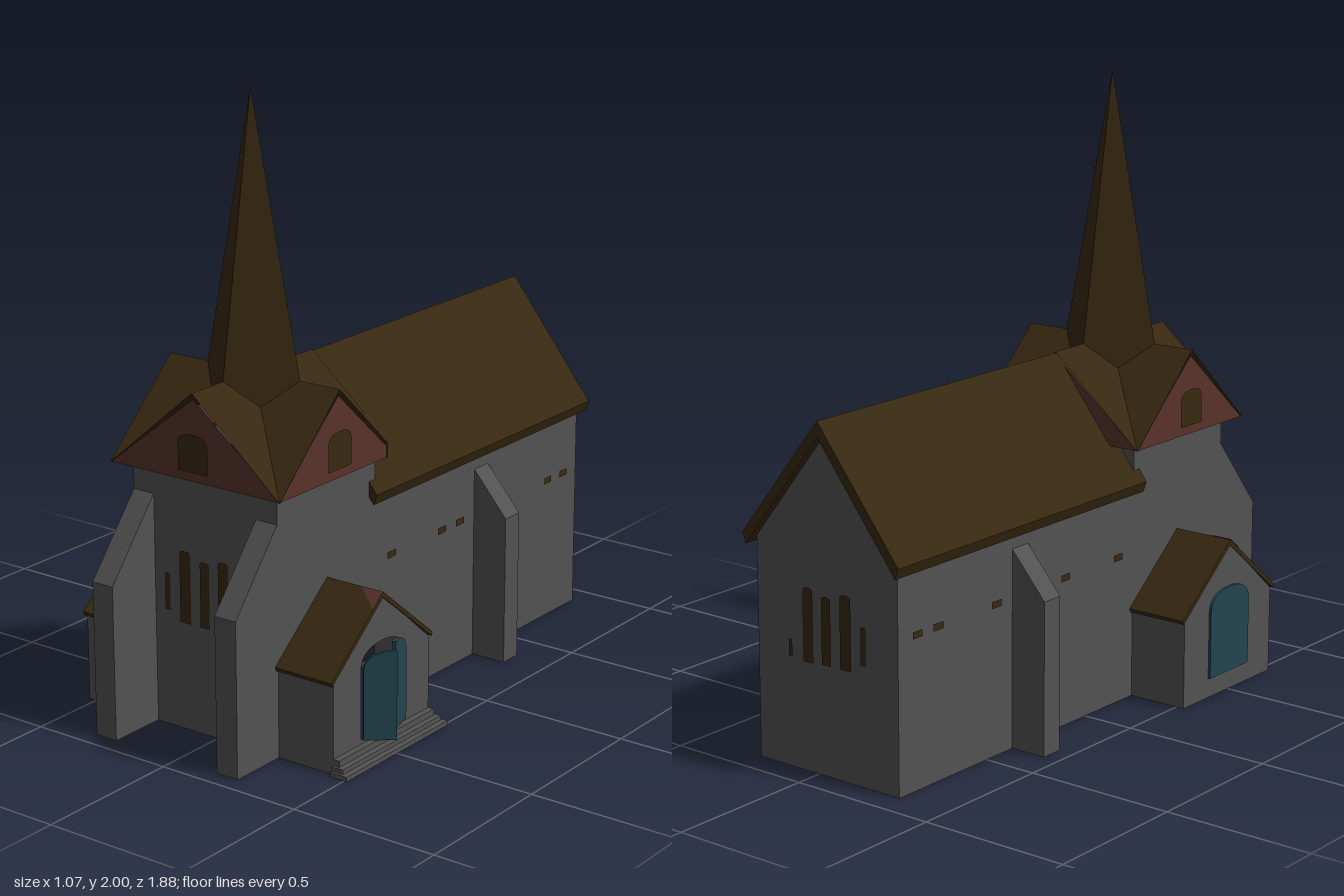
import * as THREE from 'three';

const mat = (name, color) => {
  const m = new THREE.MeshStandardMaterial({ color, side: THREE.DoubleSide });
  m.name = name;
  return m;
};

export function createModel() {
  const stone = mat('grey stone', 0x525252);
  const tile = mat('brown tile', 0x382811);
  const red = mat('red cladding', 0x58322a);
  const teal = mat('teal door', 0x234450);
  const model = new THREE.Group();

  // Main lines of the plan
  const CX = -0.04, CZ = 0.495, L = -0.32, R = 0.24;
  const FRONT = 0.74, BACK = 0.25, END = -0.91;

  const add = (name, geo, material, x = 0, y = 0, z = 0, ry = 0) => {
    const m = new THREE.Mesh(geo, material);
    m.name = name;
    m.position.set(x, y, z);
    m.rotation.y = ry;
    model.add(m);
    return m;
  };

  // Flat convex polygon from its corners
  const face = (name, material, ...p) => {
    const pos = [];
    for (let i = 1; i < p.length - 1; i++) pos.push(...p[0], ...p[i], ...p[i + 1]);
    const g = new THREE.BufferGeometry();
    g.setAttribute('position', new THREE.Float32BufferAttribute(pos, 3));
    g.computeVertexNormals();
    return add(name, g, material);
  };

  const shapeOf = (pts) => new THREE.Shape(pts.map(([x, y]) => new THREE.Vector2(x, y)));
  const extrude = (pts, depth) => new THREE.ExtrudeGeometry(shapeOf(pts), { depth, bevelEnabled: false });

  // Arched outline standing on y = 0
  const arch = (w, h) => {
    const s = shapeOf([[-w / 2, 0], [w / 2, 0], [w / 2, h - w * 0.3]]);
    s.quadraticCurveTo(w / 2, h, 0, h);
    s.quadraticCurveTo(-w / 2, h, -w / 2, h - w * 0.3);
    return s;
  };
  const archPlate = (w, h) => new THREE.ShapeGeometry(arch(w, h), 6);

  // Inverted V roof slab, running along local z
  const chevron = (half, ridge, eave, thick, length) => extrude([
    [-half, eave], [0, ridge], [half, eave],
    [half - thick * 0.25, eave - thick * 0.7], [0, ridge - thick], [-half + thick * 0.25, eave - thick * 0.7],
  ], length);

  // Nave: open shell with a gabled end
  face('naveEndWall', stone, [L, 0, END], [R, 0, END], [R, 0.71, END], [CX, 1.07, END], [L, 0.71, END]);
  for (const x of [L, R]) {
    face('naveSideWall', stone, [x, 0, BACK], [x, 0, END], [x, 0.71, END], [x, 0.71, BACK]);
  }
  add('naveRoof', chevron(0.31, 1.115, 0.722, 0.05, 1.22), tile, CX, 0, -0.94);

  // Tower walls, open towards the porches and the nave
  face('towerFrontWall', stone, [L, 0, FRONT], [R, 0, FRONT], [R, 0.85, FRONT], [L, 0.85, FRONT]);
  face('towerBackWall', stone, [L, 0.69, BACK], [R, 0.69, BACK], [R, 0.85, BACK], [L, 0.85, BACK]);
  for (const x of [L, R]) {
    const g = new THREE.ShapeGeometry(shapeOf([
      [-FRONT, 0.29], [-CZ, 0.5], [-BACK, 0.29], [-BACK, 0.85], [-FRONT, 0.85]]));
    add('towerSideWall', g, stone, x, 0, 0, Math.PI / 2);
  }

  // Tower cross-gable roof; the back corner on the left side is notched
  const x0 = -0.37, x1 = 0.29, z0 = 0.2, z1 = 0.79, lo = 0.84, hi = 1.12;
  const C = [CX, hi, CZ];
  for (const [x, z] of [[x0, z0], [x0, z1], [x1, z1]]) {
    face('towerRoofSlope', tile, C, [x, hi, CZ], [x, lo, z]);
    face('towerRoofSlope', tile, C, [CX, hi, z], [x, lo, z]);
  }
  const nx = 0.16, nz = 0.25, vx = 0.234, vy = 0.887, ny = 0.95;
  face('towerRoofSlope', tile, C, [x1, hi, CZ], [x1, vy, nz], [vx, vy, nz]);
  face('towerRoofSlope', tile, C, [CX, hi, z0], [nx, ny, z0], [nx, ny, nz], [vx, vy, nz]);
  face('notchSide', red, [nx, lo, z0], [nx, ny, z0], [nx, ny, nz], [nx, lo, nz]);
  face('notchBack', red, [nx, lo, nz], [nx, ny, nz], [vx, vy, nz], [x1, vy, nz], [x1, lo, nz]);

  // Red gables with a small arched opening each
  const top = 1.1, e = 0.006;
  face('frontGable', red, [x0, lo, z1 - e], [x1, lo, z1 - e], [CX, top, z1 - e]);
  face('backGable', red, [x0, lo, z0 + e], [nx, lo, z0 + e], [nx, ny - 0.02, z0 + e], [CX, top, z0 + e]);
  face('rightGable', red, [x0 + e, lo, z0], [x0 + e, lo, z1], [x0 + e, top, CZ]);
  face('leftGable', red, [x1 - e, lo, z1], [x1 - e, lo, nz], [x1 - e, vy - 0.01, nz], [x1 - e, top, CZ]);
  const hatch = archPlate(0.115, 0.12);
  add('gableHatch', hatch, tile, CX, 0.87, z1);
  add('gableHatch', hatch, tile, x1, 0.87, CZ, Math.PI / 2);
  add('gableHatch', hatch, tile, x0, 0.87, CZ, -Math.PI / 2);

  // Four-sided spire with its corners on the ridges
  let spire = new THREE.ConeGeometry(1, 1, 4, 1, true).scale(0.205, 1, 0.167).toNonIndexed();
  spire.computeVertexNormals();
  add('spire', spire, tile, CX, 1.5, CZ);

  // Buttresses with sloping tops
  const frontButtress = extrude([[-0.94, 0], [-0.72, 0], [-0.72, 0.775], [-0.94, 0.505]], 0.08);
  for (const x of [L, R - 0.08]) add('frontButtress', frontButtress, stone, x, 0, 0, Math.PI / 2);
  const sideButtress = extrude([[0, 0], [0.125, 0], [0.125, 0.5], [0, 0.645]], 0.078);
  add('leftButtress', sideButtress, stone, R, 0, -0.374);
  add('rightButtress', sideButtress, stone, L, 0, -0.296, Math.PI);

  // Porches on both sides
  for (const s of [-1, 1]) {
    const inner = s > 0 ? R : L, outer = inner + s * 0.208;
    const wall = shapeOf([[-FRONT, 0], [-BACK, 0], [-BACK, 0.29], [-CZ, 0.5], [-FRONT, 0.29]]);
    wall.holes.push(new THREE.Path(arch(0.215, 0.29).getPoints(6).map((p) => p.add(new THREE.Vector2(-CZ, 0.065)))));
    add('porchGableWall', new THREE.ShapeGeometry(wall), stone, outer, 0, 0, Math.PI / 2);
    for (const z of [BACK, FRONT]) {
      face('porchSideWall', stone, [inner, 0, z], [outer, 0, z], [outer, 0.29, z], [inner, 0.29, z]);
    }
    add('porchRoof', chevron(0.26, 0.512, 0.3, 0.018, 0.212), tile, s > 0 ? inner : inner - 0.212, 0, CZ, Math.PI / 2);
    // Red tip on the front slope
    const tip = outer + s * 0.004;
    face('porchRoofTip', red, [tip - s * 0.08, 0.513, CZ + 0.003], [tip, 0.513, CZ + 0.003], [tip, 0.472, CZ + 0.053]);
  }

  // Door leaves: closed on the right side, ajar on the left
  const leaf = (hx, hz, tx, tz) => {
    const w = Math.hypot(tx - hx, tz - hz);
    const s = shapeOf([[0, 0], [w, 0], [w, 0.29]]);
    s.quadraticCurveTo(0, 0.29, 0, 0.22);
    const g = new THREE.ExtrudeGeometry(s, { depth: 0.012, bevelEnabled: false, curveSegments: 6 });
    add('doorLeaf', g.translate(0, 0, -0.006), teal, hx, 0.066, hz, Math.atan2(-(tz - hz), tx - hx));
  };
  leaf(-0.53, 0.387, -0.53, CZ);
  leaf(-0.53, 0.603, -0.53, CZ);
  leaf(0.455, 0.387, 0.485, 0.485);
  leaf(0.455, 0.6, 0.534, 0.535);

  // Steps outside the open door
  [[0.47, 0.05], [0.49, 0.03], [0.51, 0.015]].forEach(([x, h], i) => {
    const len = 0.49 + i * 0.018;
    add('step', new THREE.BoxGeometry(x - 0.448, h, len), stone, (x + 0.448) / 2, h / 2, CZ);
  });

  // Lancet windows on the front and end walls
  for (const [x, y, w, h] of [[-0.187, 0.385, 0.02, 0.12], [-0.117, 0.355, 0.043, 0.235],
    [-0.04, 0.355, 0.036, 0.215], [0.033, 0.35, 0.04, 0.235], [0.105, 0.355, 0.014, 0.055]]) {
    const g = archPlate(w, h);
    add('frontWindow', g, tile, x, y, FRONT + 0.004);
    add('endWindow', g, tile, x, y, END - 0.004, Math.PI);
  }

  // Small slit windows along the nave
  const slit = new THREE.PlaneGeometry(0.045, 0.022);
  for (const z of [0.165, -0.11, -0.21, -0.455, -0.73, -0.825]) {
    add('naveSlit', slit, tile, R + 0.004, 0.49, z, Math.PI / 2);
    add('naveSlit', slit, tile, L - 0.004, 0.49, z, -Math.PI / 2);
  }

  return model;
}
